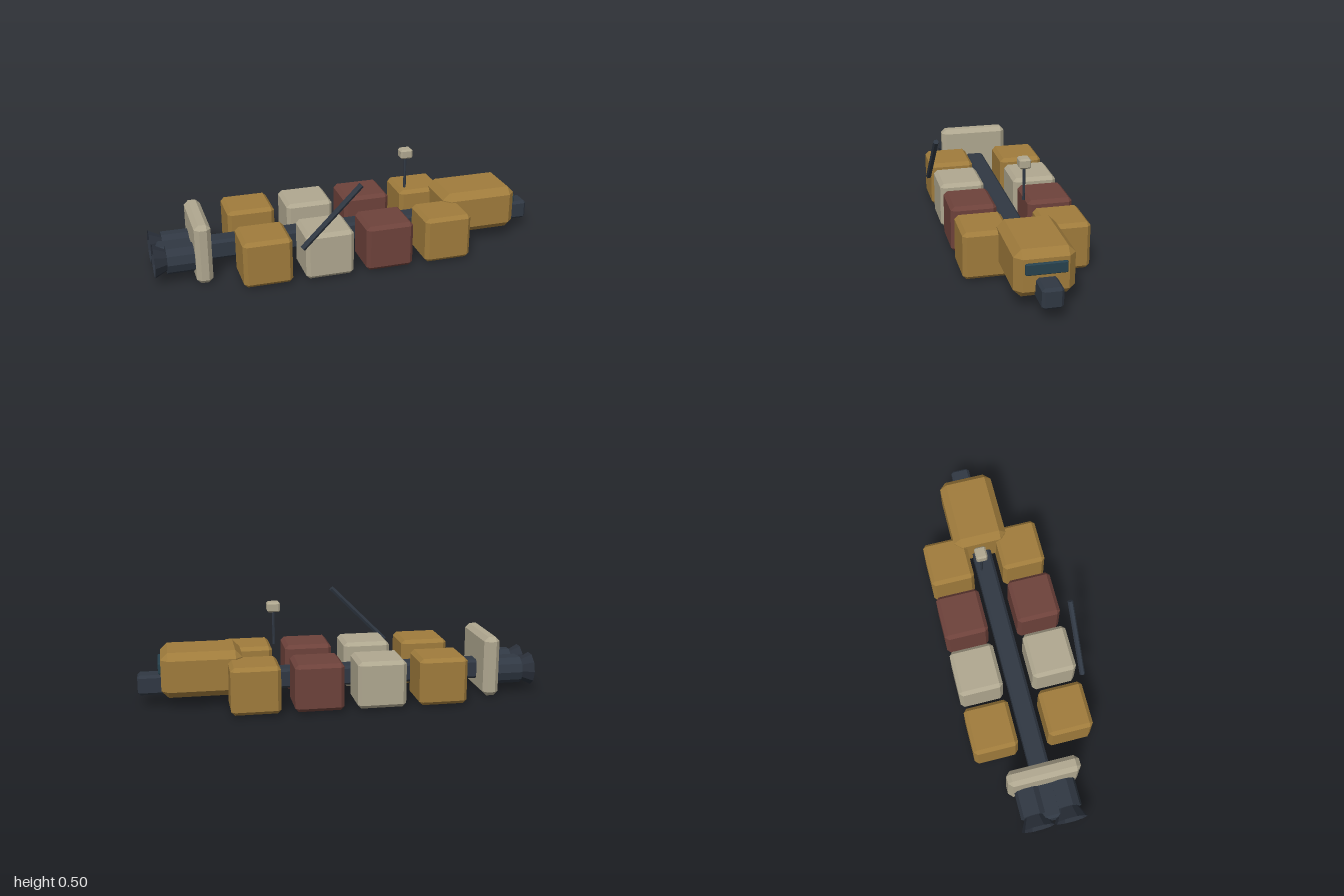
import * as THREE from 'three';
import { ConvexGeometry } from 'three/addons/geometries/ConvexGeometry.js';

const mat = (color, side = THREE.FrontSide) =>
  new THREE.MeshStandardMaterial({ color, flatShading: true, side });
const GOLD = mat(0xa07c3c), BONE = mat(0xb0a890), RUST = mat(0x6e423b);
const DARK = mat(0x303843), GLASS = mat(0x27424e);
const BELL = mat(0x2a303a, THREE.DoubleSide);

const MID_Z = -0.018; // centre line of the hull
const MID_Y = 0.11;

// Box with chamfered edges and corners
function chamferBox(w, h, d, c) {
  const pts = [];
  for (const x of [-1, 1]) for (const y of [-1, 1]) for (const z of [-1, 1]) {
    for (const [a, b, e] of [[0, c, c], [c, 0, c], [c, c, 0]]) {
      pts.push(new THREE.Vector3(x * (w / 2 - a), y * (h / 2 - b), z * (d / 2 - e)));
    }
  }
  return new ConvexGeometry(pts);
}

export function createModel() {
  const ship = new THREE.Group();
  ship.name = 'cargoShip';

  const add = (name, geometry, material, x, y, z, parent = ship) => {
    const mesh = new THREE.Mesh(geometry, material);
    mesh.name = name;
    mesh.position.set(x, y, z);
    parent.add(mesh);
    return mesh;
  };

  // Long spine through the whole ship
  add('spine', chamferBox(1.965, 0.1, 0.098, 0.013), DARK, 0.0125, MID_Y, MID_Z - 0.002);

  // Cargo containers in mirrored pairs
  const containerGeo = chamferBox(0.24, 0.234, 0.225, 0.018);
  [GOLD, BONE, RUST, GOLD].forEach((material, i) => {
    for (const side of [-1, 1]) {
      add('container', containerGeo, material, -0.477 + i * 0.3055, 0.128, MID_Z + side * 0.19);
    }
  });

  // Cabin with its window
  add('cabin', chamferBox(0.396, 0.225, 0.278, 0.035), GOLD, 0.683, 0.1725, MID_Z);
  add('window', chamferBox(0.025, 0.054, 0.189, 0.004), GLASS, 0.881, 0.2045, MID_Z);

  // Shield plate ahead of the engines
  add('shieldPlate', chamferBox(0.08, 0.306, 0.36, 0.022), BONE, -0.762, 0.154, MID_Z);

  // Twin engines
  for (const side of [-1, 1]) {
    const engine = new THREE.Group();
    engine.name = 'engine';
    engine.position.set(0, MID_Y + 0.003, MID_Z + side * 0.083);
    ship.add(engine);
    add('engineBody', new THREE.CylinderGeometry(0.07, 0.07, 0.175, 10), DARK,
      -0.8475, 0, 0, engine).rotation.z = Math.PI / 2;
    add('engineBell', new THREE.CylinderGeometry(0.083, 0.048, 0.07, 10, 1, true), BELL,
      -0.96, 0, 0, engine).rotation.z = Math.PI / 2;
    add('engineGlow', new THREE.CylinderGeometry(0.022, 0.022, 0.012, 10), GOLD,
      -0.94, 0, 0, engine).rotation.z = Math.PI / 2;
  }

  // Sensor mast
  add('mast', new THREE.CylinderGeometry(0.007, 0.007, 0.168, 6), DARK, 0.325, 0.374, -0.054);
  add('sensorHead', chamferBox(0.064, 0.049, 0.057, 0.008), BONE, 0.325, 0.479, -0.054);

  // Slanted boom beside the containers
  add('boom', new THREE.CylinderGeometry(0.014, 0.014, 0.41, 6), DARK,
    -0.172, 0.343, 0.307).rotation.z = -Math.PI / 4;

  return ship;
}
